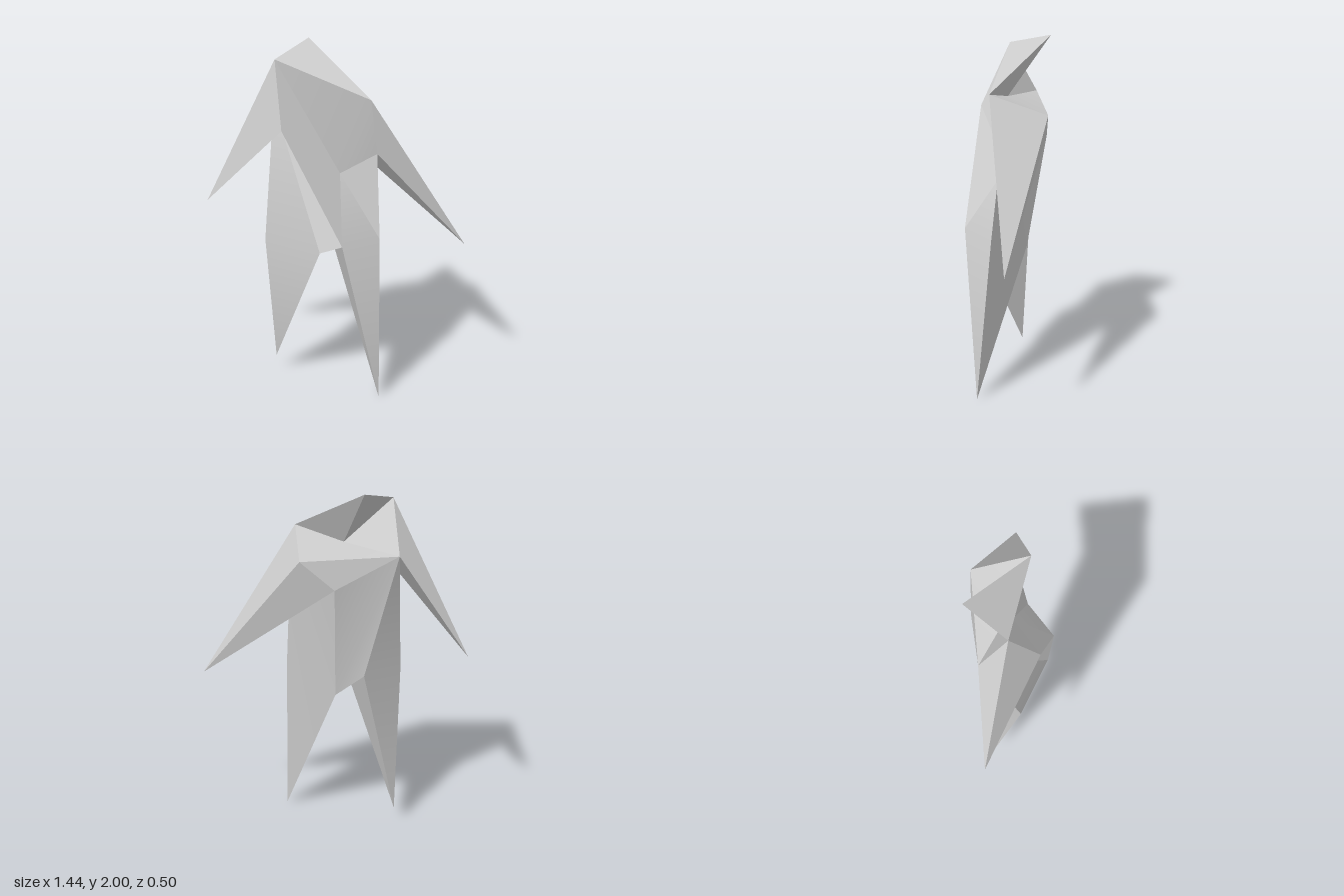
import * as THREE from 'three';
import { toCreasedNormals } from 'three/addons/utils/BufferGeometryUtils.js';

// Named corners of the folded figure, shared by neighbouring parts
const P = {
  headTip: [-0.13, 2.0, -0.25], nape: [-0.06, 1.68, 0],
  shoulderR: [-0.32, 1.93, -0.05], shoulderL: [0.19, 1.75, 0.135],
  backR: [-0.33, 1.645, -0.205], backL: [0.205, 1.63, -0.18], spine: [0.02, 1.47, -0.205],
  pitR: [-0.29, 1.58, 0.12], pitL: [0.23, 1.43, 0.08], belly: [0.03, 1.3, 0.02],
  handR: [-0.72, 1.06, -0.23], handL: [0.72, 0.91, 0.13],
  kneeInL: [0.03, 0.955, 0.255], kneeOutL: [0.245, 0.95, 0.135], footL: [0.245, 0, 0.22],
  kneeInR: [-0.09, 0.9, 0.205], kneeOutR: [-0.39, 0.91, 0.01], footR: [-0.34, 0.1, -0.13],
  seatL: [0, 0.82, -0.1], seatR: [-0.155, 0.94, -0.14],
};

// Each part is a list of triangular folds, corners counter-clockwise from outside
const PARTS = {
  head: [
    'shoulderR shoulderL headTip', 'headTip shoulderL nape', 'shoulderR headTip nape',
  ],
  shoulders: [
    'nape shoulderL backL', 'shoulderR nape backR', 'nape backL backR', 'backL spine backR',
  ],
  chest: [
    'shoulderR pitR belly', 'shoulderR belly shoulderL', 'shoulderL belly pitL',
  ],
  back: ['backR spine seatL', 'backR seatL seatR'],
  leftArm: [
    'shoulderL pitL handL', 'shoulderL handL backL', 'backL handL spine', 'pitL spine handL',
  ],
  rightArm: [
    'shoulderR handR pitR', 'shoulderR backR handR', 'pitR handR backR',
  ],
  innerFold: [
    'pitR kneeInL belly', 'pitR backR kneeInL', 'backR kneeInR kneeInL',
    'kneeInR seatL kneeInL', 'seatL kneeInR seatR',
  ],
  leftLeg: [
    'pitL belly kneeOutL', 'belly kneeInL kneeOutL', 'kneeInL footL kneeOutL',
    'pitL kneeOutL footL', 'pitL footL seatL', 'pitL seatL spine', 'kneeInL seatL footL',
  ],
  rightLeg: [
    'backR seatR kneeOutR', 'backR kneeOutR kneeInR', 'kneeOutR footR kneeInR',
    'kneeOutR seatR footR', 'seatR kneeInR footR',
  ],
};

export function createModel() {
  const model = new THREE.Group();
  model.name = 'foldedFigure';
  const material = new THREE.MeshStandardMaterial({ color: 0xcccccc, side: THREE.DoubleSide });

  for (const [name, folds] of Object.entries(PARTS)) {
    const corners = folds.flatMap((fold) => fold.split(' ').flatMap((key) => P[key]));
    const geometry = new THREE.BufferGeometry();
    geometry.setAttribute('position', new THREE.Float32BufferAttribute(corners, 3));
    // Soften only the shallow folds
    const mesh = new THREE.Mesh(toCreasedNormals(geometry, 0.6), material);
    mesh.name = name;
    model.add(mesh);
  }
  return model;
}
